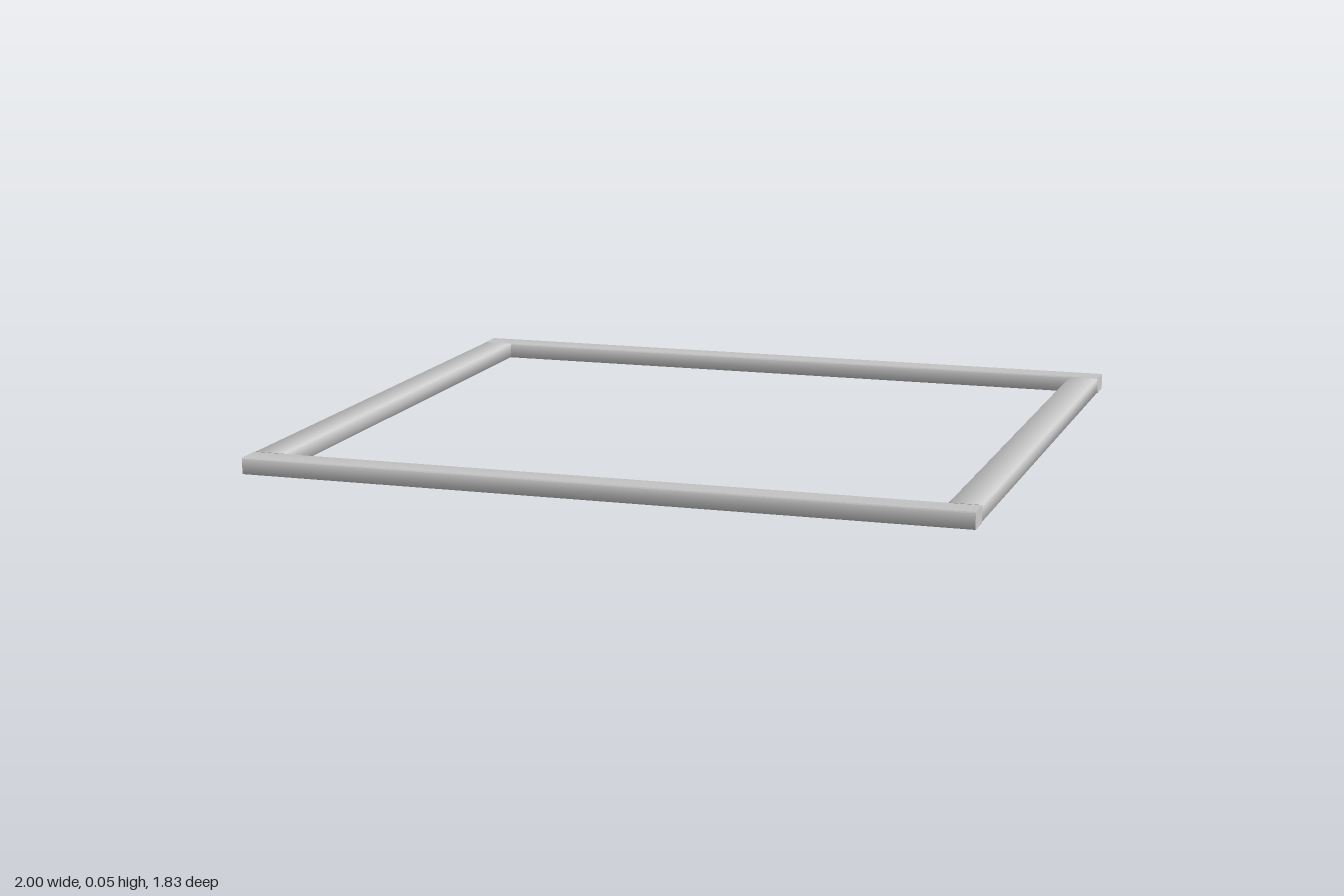
import * as THREE from 'three';
import { toCreasedNormals } from 'three/addons/utils/BufferGeometryUtils.js';

const HEIGHT = 0.046, BEVEL = 0.003;
const HALF_X = 1, HALF_Z = 0.917;
const END_WIDTH = 0.077, SIDE_WIDTH = 0.088;

// Bar along z with finely chamfered long edges, softly shaded across them
function railGeometry(width, length) {
  const w = width / 2, h = HEIGHT / 2, b = BEVEL;
  const profile = new THREE.Shape([
    [-w + b, -h], [w - b, -h], [w, -h + b], [w, h - b],
    [w - b, h], [-w + b, h], [-w, h - b], [-w, -h + b],
  ].map(([x, y]) => new THREE.Vector2(x, y)));
  const geometry = new THREE.ExtrudeGeometry(profile, { depth: length, bevelEnabled: false });
  geometry.translate(0, h, -length / 2);
  return toCreasedNormals(geometry, 0.9);
}

export function createModel() {
  const group = new THREE.Group();
  group.name = 'rectangularFrame';
  const material = new THREE.MeshStandardMaterial({ color: 0xcccccc });

  // Front and back rails run the full width; side rails fit between them
  const endRail = railGeometry(END_WIDTH, HALF_X * 2).rotateY(Math.PI / 2);
  const sideRail = railGeometry(SIDE_WIDTH, (HALF_Z - END_WIDTH) * 2);

  for (const s of [1, -1]) {
    const end = new THREE.Mesh(endRail, material);
    end.name = s > 0 ? 'frontRail' : 'backRail';
    end.position.z = s * (HALF_Z - END_WIDTH / 2);

    const side = new THREE.Mesh(sideRail, material);
    side.name = s > 0 ? 'leftRail' : 'rightRail';
    side.position.x = s * (HALF_X - SIDE_WIDTH / 2);
    group.add(end, side);
  }
  return group;
}
